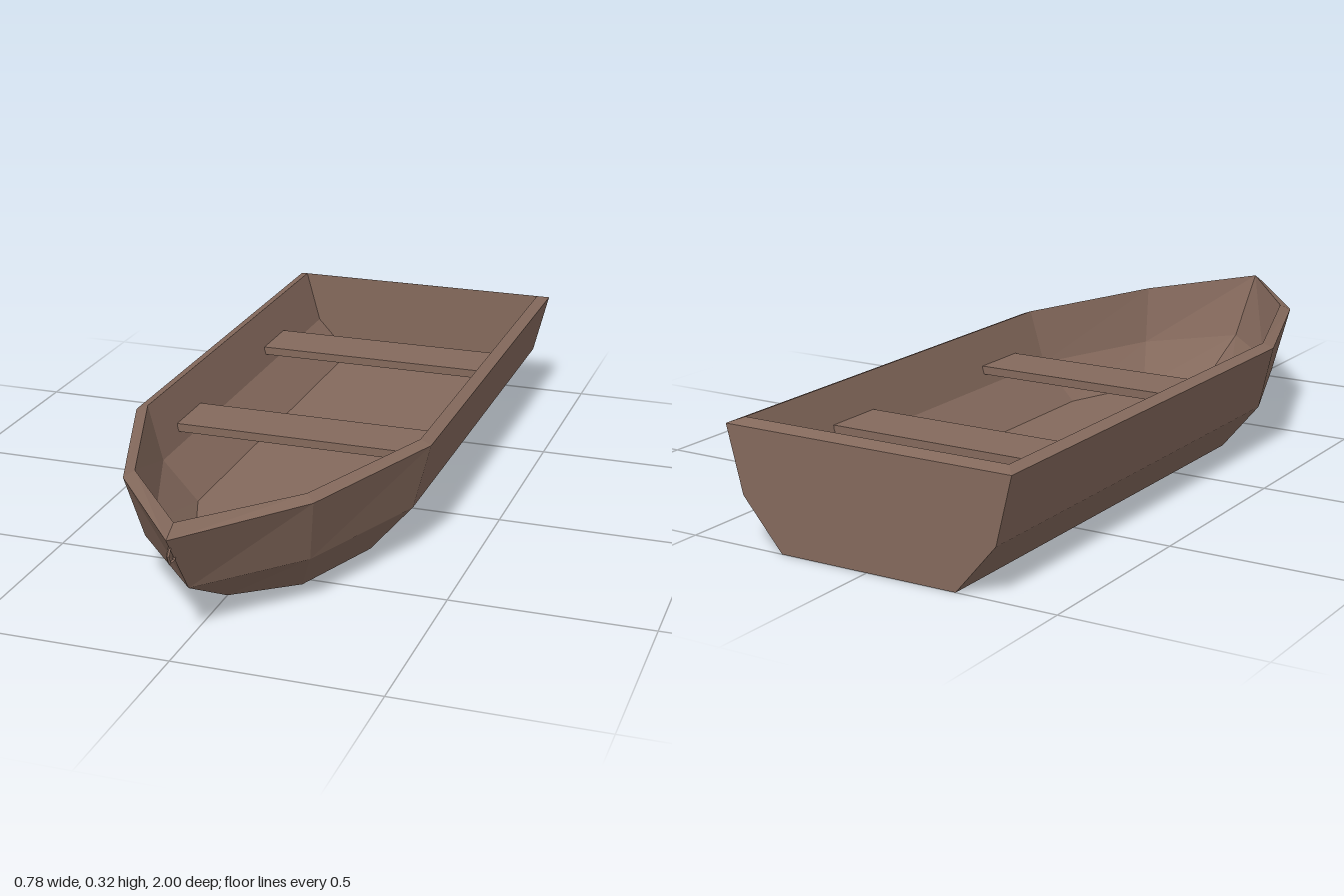
import * as THREE from 'three';

const wood = new THREE.MeshStandardMaterial({ color: 0x84695c });
wood.name = 'brown wood';

// Closed outline from its +x half: stern corner, shoulder, bow shoulder, then the stem on the centre line
function outline(half) {
  const mirrored = half.slice(0, -1).reverse().map(([x, y, z]) => [-x, y, z]);
  return [...half, ...mirrored];
}

// Skins a stack of outlines; optional flat cap on the first (facing down) or last (facing up)
function skin(name, rings, { capFirst = false, capLast = false } = {}) {
  const positions = [];
  const tri = (a, b, c) => positions.push(...a, ...b, ...c);
  for (let r = 0; r < rings.length - 1; r++) {
    const a = rings[r], b = rings[r + 1], n = a.length;
    for (let i = 0; i < n; i++) {
      const j = (i + 1) % n;
      // diagonals mirror about the centre line
      if (i < n / 2 - 1) {
        tri(a[i], b[i], a[j]);
        tri(a[j], b[i], b[j]);
      } else {
        tri(a[i], b[i], b[j]);
        tri(a[i], b[j], a[j]);
      }
    }
  }
  const first = rings[0], last = rings[rings.length - 1];
  for (let i = 1; i < first.length - 1; i++) {
    if (capFirst) tri(first[0], first[i], first[i + 1]);
    if (capLast) tri(last[0], last[i + 1], last[i]);
  }
  const geometry = new THREE.BufferGeometry();
  geometry.setAttribute('position', new THREE.Float32BufferAttribute(positions, 3));
  geometry.computeVertexNormals();
  const mesh = new THREE.Mesh(geometry, wood);
  mesh.name = name;
  return mesh;
}

export function createModel() {
  const boat = new THREE.Group();
  boat.name = 'rowingBoat';

  // Outer outlines, bottom to rim
  const keel = outline([[0.24, 0, -1], [0.24, 0, 0.28], [0.148, 0, 0.53], [0, 0, 0.645]]);
  const chine = outline([[0.347, 0.125, -1], [0.347, 0.125, 0.275], [0.208, 0.125, 0.645], [0, 0.125, 0.88]]);
  const rim = outline([[0.389, 0.292, -1], [0.389, 0.292, 0.27], [0.235, 0.292, 0.7], [0, 0.292, 1]]);

  // Inner outlines, rim to floor
  const innerRim = outline([[0.36, 0.303, -0.965], [0.36, 0.303, 0.265], [0.213, 0.306, 0.68], [0, 0.317, 0.955]]);
  const innerChine = outline([[0.32, 0.16, -0.965], [0.32, 0.16, 0.268], [0.19, 0.16, 0.625], [0, 0.16, 0.83]]);
  const floor = outline([[0.226, 0.06, -0.965], [0.226, 0.06, 0.27], [0.135, 0.06, 0.515], [0, 0.06, 0.625]]);

  boat.add(skin('hull', [keel, chine, rim], { capFirst: true }));
  boat.add(skin('gunwale', [rim, innerRim]));
  boat.add(skin('interior', [innerRim, innerChine, floor], { capLast: true }));

  // Bench planks
  [['frontBench', 0.06], ['rearBench', -0.593]].forEach(([name, z]) => {
    const bench = new THREE.Mesh(new THREE.BoxGeometry(0.666, 0.022, 0.162), wood);
    bench.name = name;
    bench.position.set(0, 0.202, z);
    boat.add(bench);
  });

  // Mooring ring on the stem
  const ringGeometry = new THREE.TorusGeometry(0.022, 0.004, 4, 6).toNonIndexed();
  ringGeometry.computeVertexNormals();
  const ring = new THREE.Mesh(ringGeometry, wood);
  ring.name = 'mooringRing';
  ring.rotation.set(0, Math.PI / 2, -0.08);
  ring.position.set(-0.001, 0.248, 0.968);
  boat.add(ring);

  return boat;
}
